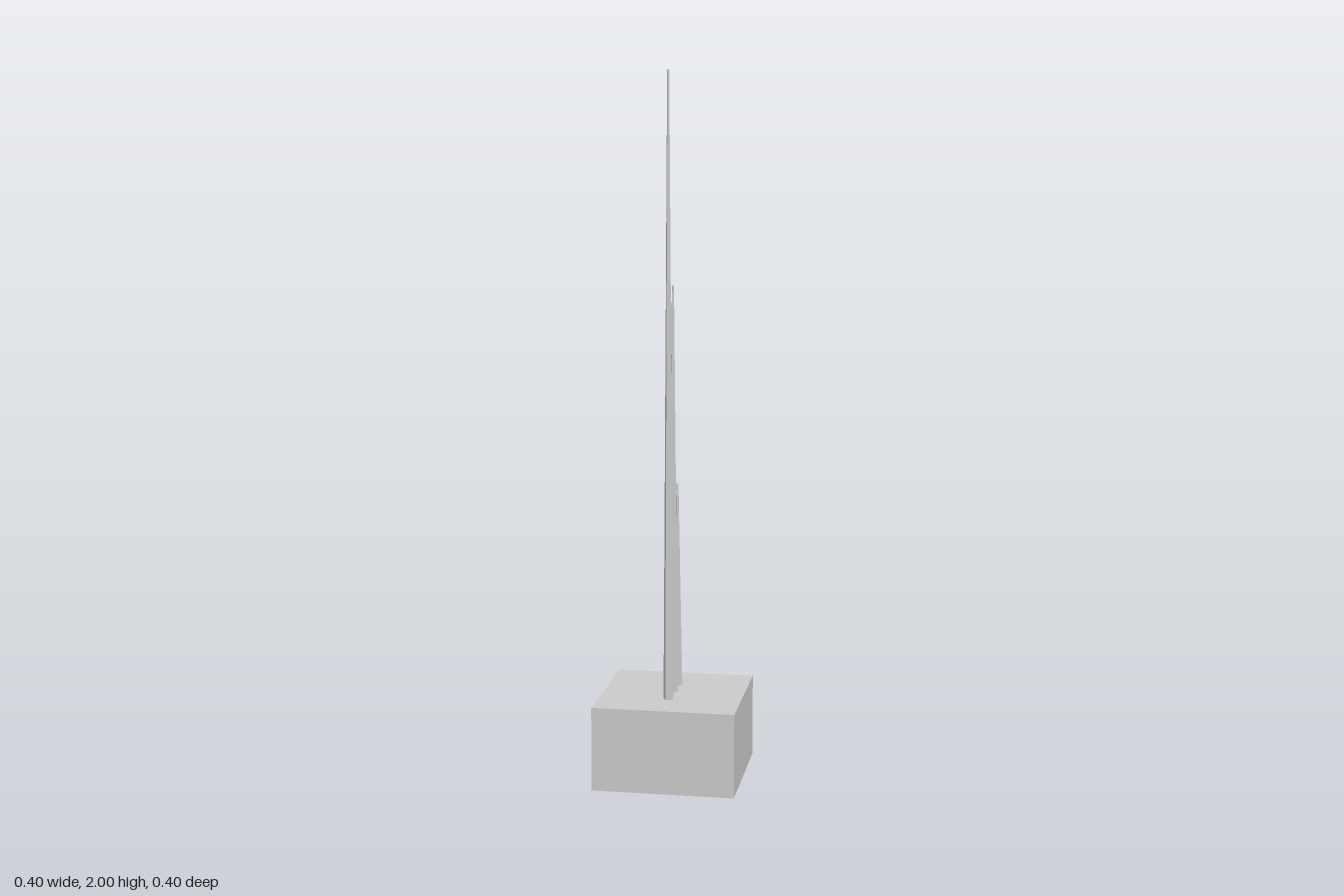
import * as THREE from 'three';

const BASE = { width: 0.404, height: 0.24 };

export function createModel() {
  const model = new THREE.Group();
  const material = new THREE.MeshStandardMaterial({
    color: 0xcccccc, flatShading: true, side: THREE.DoubleSide,
  });

  // Hollow block, open underneath
  const base = new THREE.Group();
  base.name = 'base';
  const addPanel = (name, height) => {
    const panel = new THREE.Mesh(new THREE.PlaneGeometry(BASE.width, height), material);
    panel.name = name;
    base.add(panel);
    return panel;
  };
  ['frontWall', 'leftWall', 'backWall', 'rightWall'].forEach((name, i) => {
    const angle = i * Math.PI / 2;
    const wall = addPanel(name, BASE.height);
    wall.rotation.y = angle;
    wall.position.set(Math.sin(angle) * BASE.width / 2, BASE.height / 2, Math.cos(angle) * BASE.width / 2);
  });
  const top = addPanel('baseTop', BASE.width);
  top.rotation.x = -Math.PI / 2;
  top.position.y = BASE.height;
  model.add(base);

  // Three slender six-sided spikes, tallest at the front
  const spikes = [
    ['frontSpike', 0.077, 2.0],
    ['middleSpike', 0.001, 1.41],
    ['backSpike', -0.076, 0.835],
  ];
  for (const [name, z, tip] of spikes) {
    const length = tip - BASE.height;
    const geometry = new THREE.CylinderGeometry(0.003, 0.0145, length, 6);
    geometry.rotateY(Math.PI / 6);
    const spike = new THREE.Mesh(geometry, material);
    spike.name = name;
    spike.position.set(-0.004, BASE.height + length / 2, z);
    model.add(spike);
  }
  return model;
}
